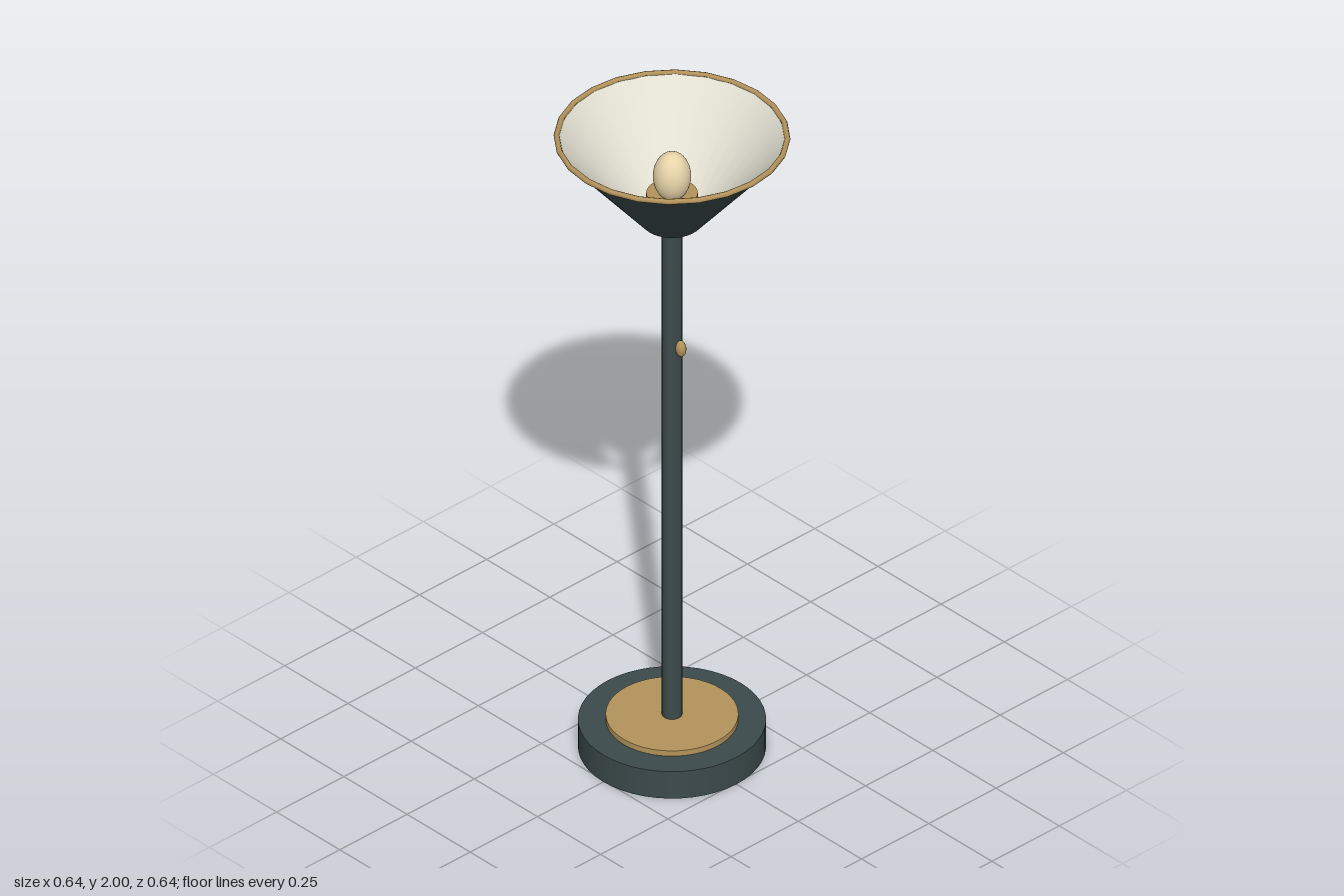
import * as THREE from 'three';

const material = (name, color) => {
  const m = new THREE.MeshStandardMaterial({ color });
  m.name = name;
  return m;
};

export function createModel() {
  const lamp = new THREE.Group();
  lamp.name = 'floorLamp';

  const enamel = material('dark green enamel', 0x3c4a4b);
  const brass = material('brass', 0xb3935b);
  const cream = material('cream lining', 0xe2e0d2);
  const glow = material('warm bulb glass', 0xe8d5aa);

  const add = (name, geometry, mat, x = 0, y = 0, parent = lamp) => {
    const mesh = new THREE.Mesh(geometry, mat);
    mesh.name = name;
    mesh.position.set(x, y, 0);
    parent.add(mesh);
    return mesh;
  };

  // Upright cylinder between two heights
  const column = (name, radius, y0, y1, mat, sides = 48) =>
    add(name, new THREE.CylinderGeometry(radius, radius, y1 - y0, sides), mat, 0, (y0 + y1) / 2);

  // Base, trim plate and pole
  column('base', 0.255, 0, 0.088, enamel);
  column('basePlate', 0.18, 0.088, 0.105, brass);
  column('pole', 0.028, 0.1, 1.78, enamel, 24);

  // Switch knob on the side of the pole
  add('switchKnob', new THREE.SphereGeometry(1, 16, 12), brass, 0.035, 1.317)
    .scale.set(0.016, 0.025, 0.014);

  // Shade: conical wall, each face of its section swept separately for crisp edges
  const shade = new THREE.Group();
  shade.name = 'shade';
  lamp.add(shade);
  const section = [[0.076, 1.718], [0.083, 1.718], [0.312, 1.992], [0.305, 1.992], [0.076, 1.718]];
  ['shadeBottomEdge', 'shadeOuter', 'shadeTopEdge', 'shadeLining'].forEach((name, i) => {
    const points = [section[i], section[i + 1]].map(([r, y]) => new THREE.Vector2(r, y));
    add(name, new THREE.LatheGeometry(points, 32), i === 3 ? cream : enamel, 0, 0, shade);
  });

  // Brass rim around the top of the shade
  const rim = new THREE.TorusGeometry(0.313, 0.008, 8, 24);
  rim.rotateX(Math.PI / 2);
  add('shadeRim', rim, brass, 0, 1.992, shade);

  // Socket and bulb
  column('socket', 0.07, 1.76, 1.81, brass, 32);
  add('bulb', new THREE.SphereGeometry(0.052, 32, 20), glow, 0, 1.865).scale.y = 1.42;

  return lamp;
}
